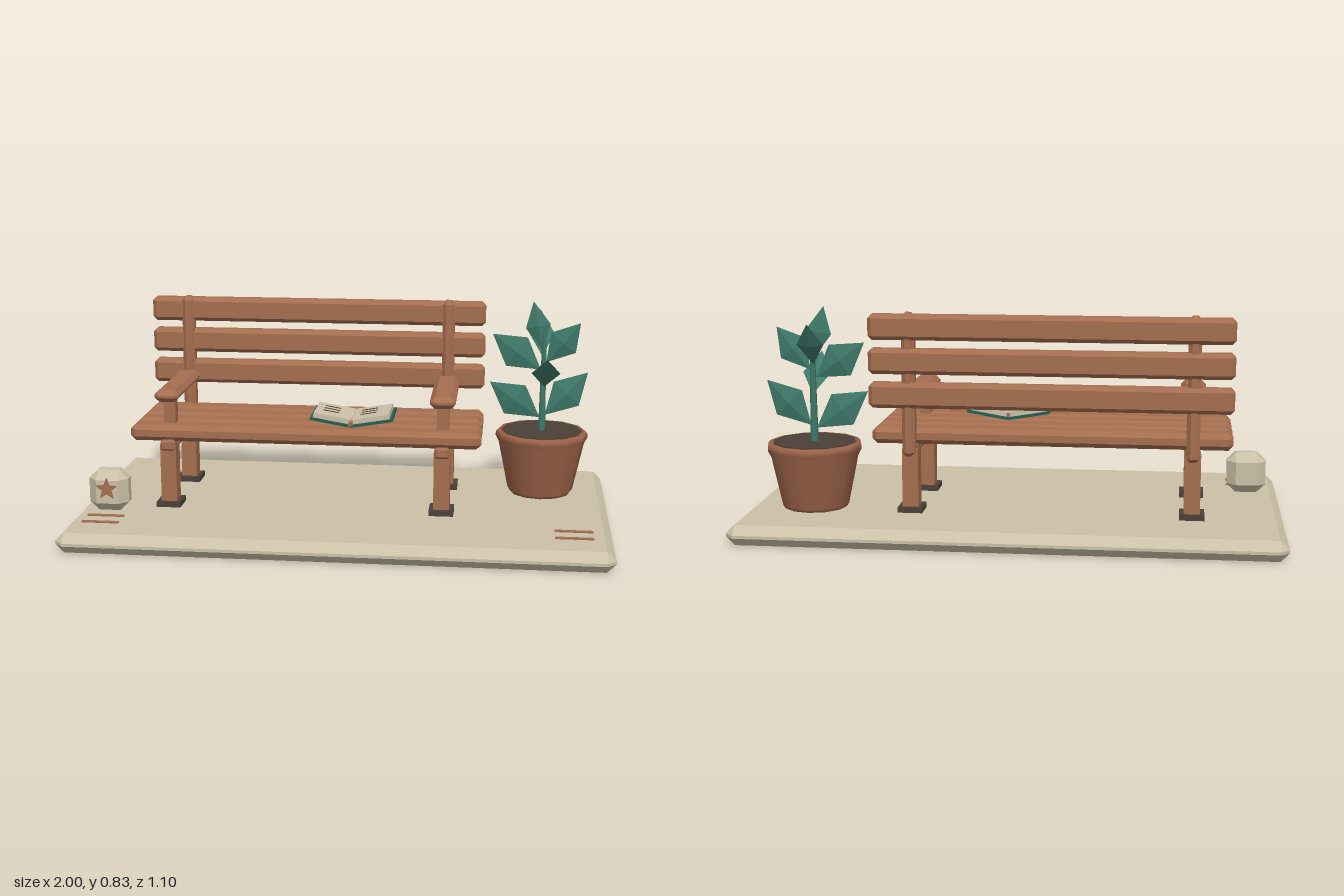
import * as THREE from 'three';
import { ConvexGeometry } from 'three/addons/geometries/ConvexGeometry.js';

const mat = (name, color, side = THREE.FrontSide) => {
  const m = new THREE.MeshStandardMaterial({ color, side });
  m.name = name;
  return m;
};

// Box with every edge cut at 45 degrees
function chamferBox(w, h, d, c) {
  const pts = [];
  for (const sx of [-1, 1]) for (const sy of [-1, 1]) for (const sz of [-1, 1]) {
    const x = w / 2, y = h / 2, z = d / 2;
    pts.push(
      new THREE.Vector3(sx * x, sy * (y - c), sz * (z - c)),
      new THREE.Vector3(sx * (x - c), sy * y, sz * (z - c)),
      new THREE.Vector3(sx * (x - c), sy * (y - c), sz * z));
  }
  return new ConvexGeometry(pts);
}

export function createModel() {
  const model = new THREE.Group();
  model.name = 'parkBench';
  const wood = mat('wood', 0xa56e50);
  const clay = mat('clay', 0x9d6449, THREE.DoubleSide);
  const stone = mat('stone', 0xcbc1a8);
  const dark = mat('dark', 0x4b4036);
  const green = mat('leafGreen', 0x3f7a6a);
  const cover = mat('coverGreen', 0x24604f);

  const add = (parent, name, geometry, material, x = 0, y = 0, z = 0) => {
    const m = new THREE.Mesh(geometry, material);
    m.name = name;
    m.position.set(x, y, z);
    parent.add(m);
    return m;
  };
  const box = (w, h, d) => new THREE.BoxGeometry(w, h, d);

  // Paving slab with inlaid stripes
  add(model, 'slab', chamferBox(2, 0.075, 1.1, 0.032), stone, 0, 0.0375, 0);
  for (const x of [-0.87, 0.86]) for (const z of [0.305, 0.385])
    add(model, 'groundStripe', box(0.138, 0.006, 0.015), wood, x, 0.077, z);

  // Bench
  const bench = new THREE.Group();
  bench.name = 'bench';
  bench.position.x = -0.145;
  model.add(bench);
  const seatSlat = chamferBox(1.325, 0.062, 0.096, 0.018);
  for (let i = 0; i < 4; i++)
    add(bench, 'seatSlat', seatSlat, wood, 0, 0.36, 0.112 - i * 0.107);
  const backSlat = chamferBox(1.325, 0.094, 0.06, 0.015);
  for (let i = 0; i < 3; i++)
    add(bench, 'backSlat', backSlat, wood, 0, 0.518 + i * 0.125, -0.278);

  for (const x of [-0.518, 0.518]) {
    for (const z of [0.122, -0.23]) {
      add(bench, 'leg', box(0.06, 0.23, 0.065), wood, x, 0.2, z);
      add(bench, 'foot', box(0.092, 0.02, 0.1), dark, x, 0.085, z);
    }
    add(bench, 'sideRail', chamferBox(0.055, 0.042, 0.42, 0.008), wood, x, 0.314, -0.047);
    add(bench, 'backPost', chamferBox(0.048, 0.53, 0.058, 0.014), wood, x, 0.555, -0.267);
    add(bench, 'armPost', box(0.045, 0.11, 0.04), wood, x, 0.435, 0.09);
    add(bench, 'armrest', chamferBox(0.095, 0.045, 0.41, 0.018), wood, x, 0.504, -0.038);
  }

  // Open book lying on the seat
  const book = new THREE.Group();
  book.name = 'openBook';
  book.position.set(0.03, 0.399, 0.022);
  model.add(book);
  for (const s of [-1, 1]) {
    const half = new THREE.Group();
    half.name = s < 0 ? 'rightHalf' : 'leftHalf';
    half.rotation.z = s * 0.17;
    book.add(half);
    add(half, 'cover', box(0.158, 0.01, 0.204), cover, s * 0.079, 0, 0);
    add(half, 'pages', box(0.143, 0.018, 0.186), stone, s * 0.076, 0.014, 0);
    for (let i = 0; i < 3; i++)
      add(half, 'textLine', box(0.06, 0.003, 0.006), dark, s * 0.076 - 0.012, 0.0235, -0.047 + i * 0.036);
  }
  add(book, 'bookmark', box(0.012, 0.014, 0.23), wood, 0, 0.014, 0.018);

  // Stone block with a star on its front
  add(model, 'stoneBlock', chamferBox(0.15, 0.158, 0.105, 0.034), stone, -0.876, 0.154, 0.21);
  const star = new THREE.Shape();
  for (let i = 0; i < 10; i++) {
    const r = i % 2 ? 0.019 : 0.044, a = Math.PI / 2 + i * Math.PI / 5;
    star[i ? 'lineTo' : 'moveTo'](r * Math.cos(a), r * Math.sin(a));
  }
  add(model, 'star', new THREE.ExtrudeGeometry(star, { depth: 0.008, bevelEnabled: false }),
    wood, -0.876, 0.166, 0.259);

  // Potted plant
  const plant = new THREE.Group();
  plant.name = 'pottedPlant';
  plant.position.set(0.745, 0, -0.207);
  model.add(plant);
  const profile = [[0, 0.076], [0.118, 0.076], [0.127, 0.09], [0.166, 0.275], [0.178, 0.298],
    [0.178, 0.314], [0.17, 0.324], [0.155, 0.324], [0.152, 0.3]];
  add(plant, 'pot', new THREE.LatheGeometry(profile.map(p => new THREE.Vector2(...p)), 12), clay);
  add(plant, 'soil', new THREE.CylinderGeometry(0.156, 0.15, 0.02, 12), dark, 0, 0.316, 0);
  add(plant, 'stem', new THREE.CylinderGeometry(0.009, 0.016, 0.4, 6), green, 0, 0.51, 0);

  // Each leaf: base, tip, half width, direction of its width
  const X = [1, 0, 0], Z = [0, 0, 1];
  const leaves = [
    [[-0.01, 0.375, 0], [-0.205, 0.515, 0.012], 0.07, Z],
    [[0.01, 0.385, 0], [0.172, 0.555, -0.012], 0.068, Z],
    [[-0.01, 0.565, 0], [-0.198, 0.7, -0.012], 0.07, Z],
    [[0.01, 0.595, 0], [0.137, 0.752, 0.012], 0.062, Z],
    [[0.005, 0.5, 0.01], [0.01, 0.64, 0.185], 0.055, X],
    [[-0.005, 0.615, -0.01], [-0.015, 0.78, -0.135], 0.05, X],
    [[-0.005, 0.64, 0], [-0.045, 0.832, 0.002], 0.048, Z],
  ];
  for (const [a, b, width, ref] of leaves) {
    const base = new THREE.Vector3(...a), tip = new THREE.Vector3(...b);
    const along = tip.clone().sub(base), length = along.length();
    along.normalize();
    let across = new THREE.Vector3(...ref);
    if (ref === Z) across = along.clone().cross(across).normalize();
    const normal = across.clone().cross(along).normalize();
    const geometry = new THREE.OctahedronGeometry(1);
    geometry.scale(width, length / 2, 0.014);
    geometry.applyMatrix4(new THREE.Matrix4().makeBasis(across, along, normal));
    const mid = base.add(tip).multiplyScalar(0.5);
    add(plant, 'leaf', geometry, green, mid.x, mid.y, mid.z);
  }
  return model;
}
